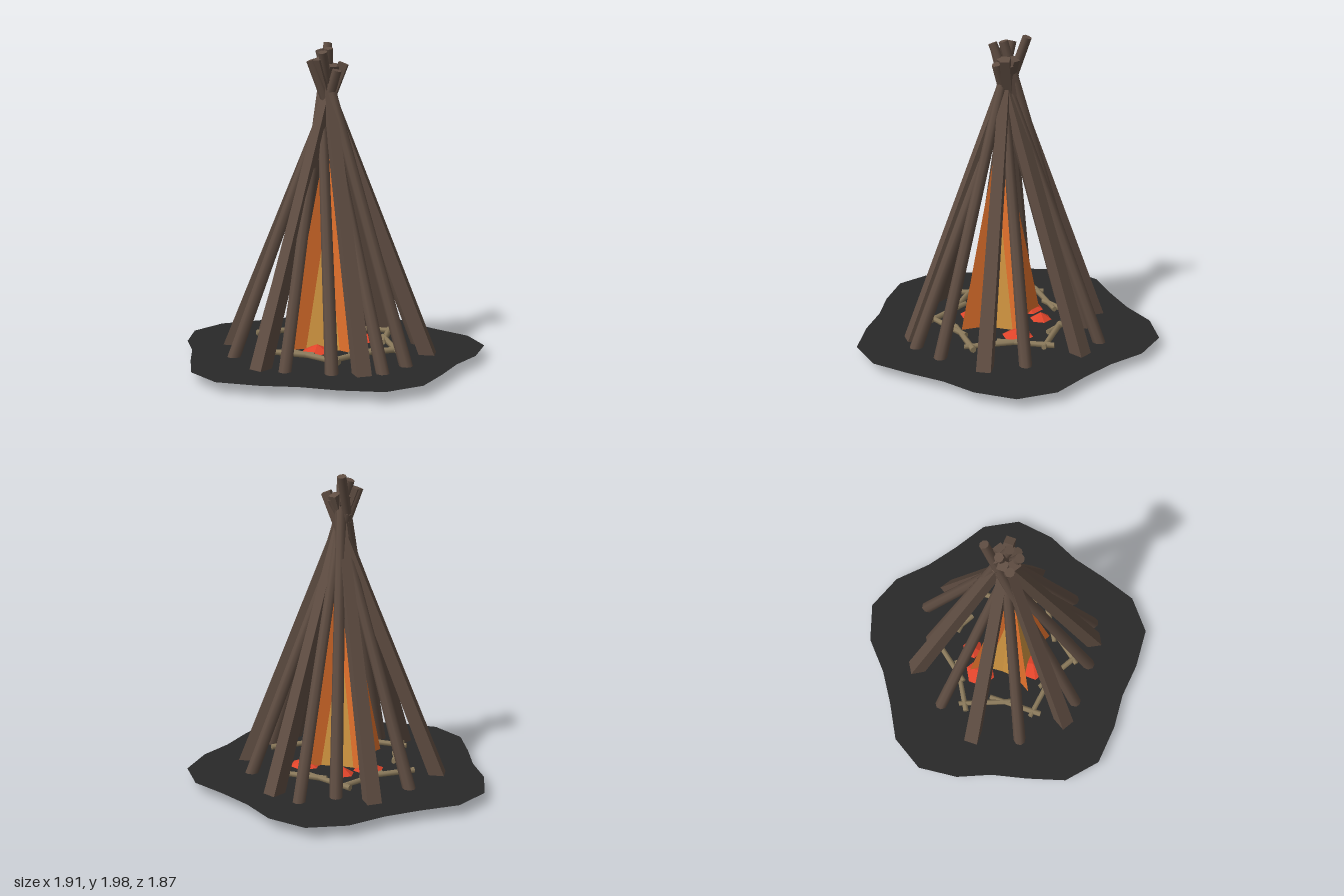
import * as THREE from 'three';

const mat = (name, color, side = THREE.FrontSide) =>
  new THREE.MeshStandardMaterial({ name, color, side });

// Faceted copy of a geometry
function faceted(geo) {
  const g = geo.index ? geo.toNonIndexed() : geo;
  g.computeVertexNormals();
  return g;
}

// Places a y-aligned mesh between two points, with its x axis kept level
function span(mesh, a, b) {
  const dir = b.clone().sub(a).normalize();
  const side = new THREE.Vector3(0, 1, 0).cross(dir).normalize();
  const out = side.clone().cross(dir);
  mesh.quaternion.setFromRotationMatrix(new THREE.Matrix4().makeBasis(side, dir, out));
  mesh.position.copy(a).add(b).multiplyScalar(0.5);
  return mesh;
}

// Tall four-pointed star pyramid: points on the diagonals, valleys on the axes
function starSpire(point, valley, height) {
  const geo = new THREE.ConeGeometry(1, height, 8, 1, true);
  const p = geo.attributes.position;
  for (let i = 0; i < p.count; i++) {
    const onAxis = Math.min(Math.abs(p.getX(i)), Math.abs(p.getZ(i))) < 0.01;
    const r = onAxis ? valley : point;
    p.setXYZ(i, p.getX(i) * r, p.getY(i), p.getZ(i) * r);
  }
  return faceted(geo);
}

export function createModel() {
  const model = new THREE.Group();
  model.name = 'campfire';
  const bark = mat('bark brown', 0x5f4d42);
  const twig = mat('dry twig', 0x8c7b5c);
  const ash = mat('ash grey', 0x292929, THREE.DoubleSide);
  const orange = mat('flame orange', 0xe0702c, THREE.DoubleSide);
  const yellow = mat('flame yellow', 0xd09540, THREE.DoubleSide);
  const red = mat('ember red', 0xe0442a);
  const GROUND = 0.08;
  const FIRE = 0.12;
  const CZ = 0.06;

  const add = (name, geo, material, parent = model) => {
    const m = new THREE.Mesh(geo, material);
    m.name = name;
    parent.add(m);
    return m;
  };
  const group = (name) => {
    const g = new THREE.Group();
    g.name = name;
    model.add(g);
    return g;
  };

  // Scorched ground patch, mirrored left to right
  const half = [[0, -0.935], [0.24, -0.85], [0.42, -0.68], [0.61, -0.55], [0.83, -0.42],
    [0.957, -0.2], [0.925, 0.06], [0.83, 0.27], [0.77, 0.5], [0.69, 0.745],
    [0.495, 0.91], [0.23, 0.93], [0, 0.91]];
  const outline = [...half, ...half.slice(1, -1).reverse().map(([x, z]) => [-x, z])];
  const patch = new THREE.ShapeGeometry(
    new THREE.Shape(outline.map(([x, z]) => new THREE.Vector2(x, -z))));
  patch.rotateX(-Math.PI / 2);
  add('ground', patch, ash).position.y = GROUND;

  // Leaning logs: foot x, z, then tip x, y, z
  const logs = group('logs');
  const V = (x, y, z) => new THREE.Vector3(x, y, z);
  const squared = [
    [-0.645, 0.06, 0.09, 1.87, 0.04], [0.645, 0.06, -0.08, 1.9, 0.06],
    [-0.315, -0.49, 0.03, 1.86, 0.07], [0.315, -0.49, -0.05, 1.9, 0.12],
    [-0.315, 0.61, 0.03, 1.86, 0], [0.315, 0.61, -0.03, 1.86, 0.01]];
  const round = [
    [-0.505, -0.23, 0.06, 1.83, 0.1], [-0.08, -0.47, 0, 1.96, 0.07],
    [0.13, -0.585, -0.02, 1.94, 0.14], [0.55, -0.18, -0.1, 1.89, 0.11],
    [0.55, 0.37, -0.06, 1.95, 0.03], [0.435, 0.56, -0.05, 1.75, 0.01],
    [0.135, 0.635, -0.05, 1.7, 0.03], [-0.155, 0.635, -0.03, 1.985, -0.07],
    [-0.55, 0.37, 0.05, 1.83, 0.02]];
  for (const [x, z, tx, ty, tz] of squared) {
    const a = V(x, 0.03, z), b = V(tx, ty, tz);
    const geo = new THREE.CylinderGeometry(0.041, 0.065, a.distanceTo(b), 4).rotateY(Math.PI / 4);
    span(add('squaredLog', faceted(geo), bark, logs), a, b);
  }
  for (const [x, z, tx, ty, tz] of round) {
    const a = V(x, 0.03, z), b = V(tx, ty, tz);
    const geo = new THREE.CylinderGeometry(0.029, 0.041, a.distanceTo(b), 8);
    span(add('roundLog', geo, bark, logs), a, b);
  }

  // Ring of kindling twigs, alternately skewed so they cross
  const twigs = group('kindling');
  for (let i = 0; i < 12; i++) {
    const t = (i / 12) * Math.PI * 2;
    const lay = t + Math.PI / 2 + (i % 2 ? 0.5 : -0.4);
    const end = (s) => V(
      Math.cos(t) * 0.39 + Math.cos(lay) * s, 0.13, CZ + Math.sin(t) * 0.39 + Math.sin(lay) * s);
    span(add('twig', new THREE.CylinderGeometry(0.017, 0.02, 0.36, 6), twig, twigs), end(-0.18), end(0.18));
  }

  // Flames: the yellow one fills the valleys of the orange one
  const flame = (name, point, valley, top, material) => {
    const h = top - FIRE;
    add(name, starSpire(point, valley, h), material).position.set(0, FIRE + h / 2, CZ + 0.03);
  };
  flame('outerFlame', 0.3, 0.09, 1.45, orange);
  flame('innerFlame', 0.22, 0.14, 1.2, yellow);

  // Low faceted embers
  const embers = group('embers');
  for (const [x, z, r] of [[-0.2, -0.05, 0.1], [0.21, -0.06, 0.1], [-0.03, 0.27, 0.1], [-0.06, -0.16, 0.07]]) {
    const geo = faceted(new THREE.ConeGeometry(r, 0.045, 6));
    add('ember', geo, red, embers).position.set(x, 0.138, z);
  }
  return model;
}
